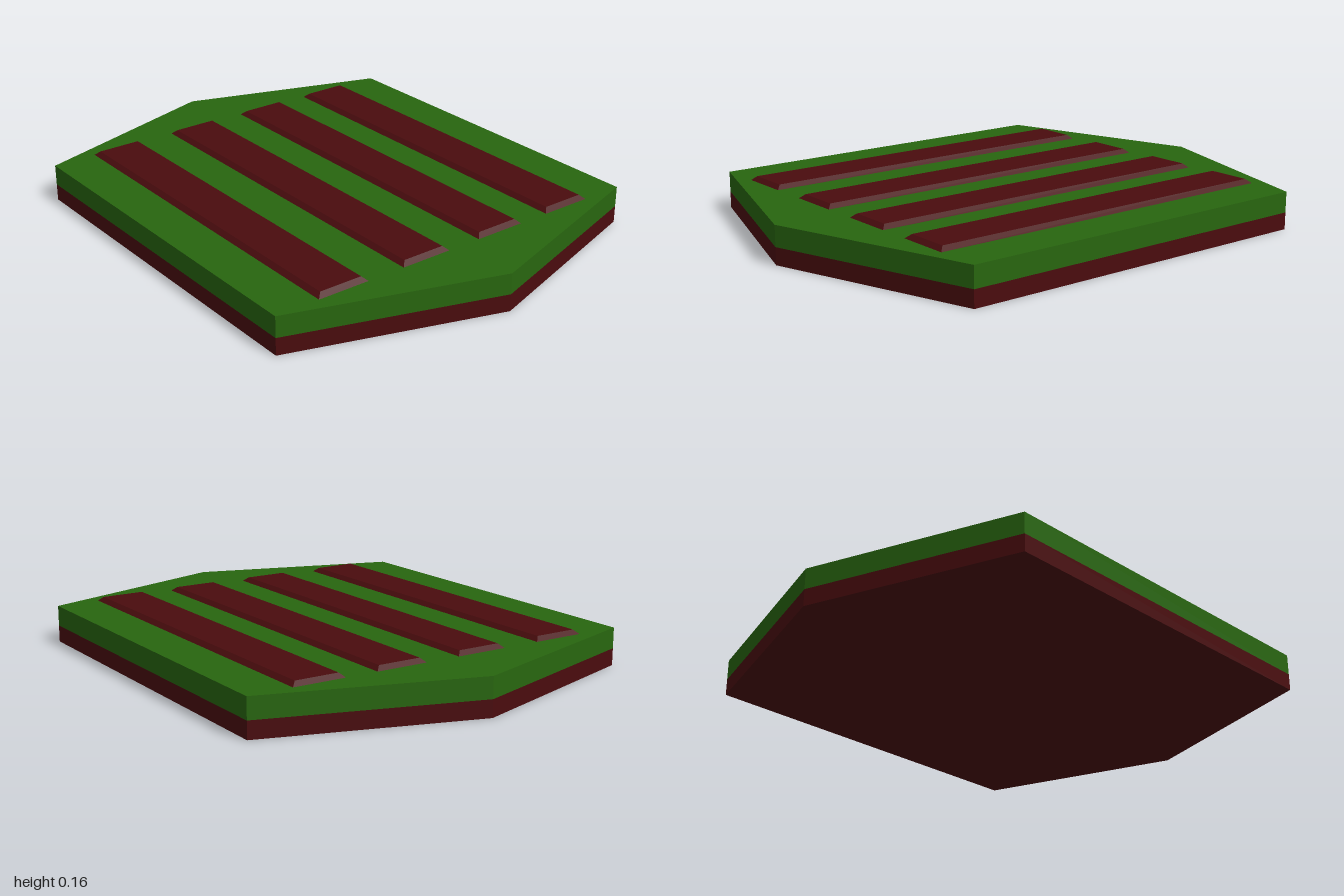
import * as THREE from 'three';

const red = new THREE.MeshStandardMaterial({ color: 0x4a0c0e, flatShading: true });
const green = new THREE.MeshStandardMaterial({ color: 0x28660f, flatShading: true });

// Elongated hexagonal plate from height y0 to y1
function hexPlate(name, y0, y1, material) {
  const outline = [[0, 1], [-0.802, 0.745], [-0.802, -0.745], [0, -1], [0.802, -0.745], [0.802, 0.745]];
  const shape = new THREE.Shape(outline.map(([x, y]) => new THREE.Vector2(x, y)));
  const geometry = new THREE.ExtrudeGeometry(shape, { depth: y1 - y0, bevelEnabled: false });
  geometry.rotateX(-Math.PI / 2);
  const mesh = new THREE.Mesh(geometry, material);
  mesh.name = name;
  mesh.position.y = y0;
  return mesh;
}

// Long flat bar whose top is drawn in to give sloped edges
function bevelledBar(name, x) {
  const width = 0.208, length = 1.49, bottom = 0.13, shoulder = 0.147, top = 0.163, inset = 0.018;
  const geometry = new THREE.BoxGeometry(width, 2, length, 1, 2, 1);
  const p = geometry.attributes.position;
  for (let i = 0; i < p.count; i++) {
    const level = p.getY(i);
    p.setY(i, level > 0.5 ? top : level < -0.5 ? bottom : shoulder);
    if (level > 0.5) {
      p.setX(i, p.getX(i) - Math.sign(p.getX(i)) * inset);
      p.setZ(i, p.getZ(i) - Math.sign(p.getZ(i)) * inset);
    }
  }
  geometry.computeVertexNormals();
  const mesh = new THREE.Mesh(geometry, red);
  mesh.name = name;
  mesh.position.x = x;
  return mesh;
}

export function createModel() {
  const model = new THREE.Group();
  model.name = 'stripedHexTile';

  // Two stacked layers
  model.add(hexPlate('basePlate', 0, 0.066, red));
  model.add(hexPlate('topPlate', 0.066, 0.147, green));

  // Four raised bars
  [-0.522, -0.16, 0.188, 0.524].forEach((x, i) => model.add(bevelledBar(`bar${i + 1}`, x)));
  return model;
}
